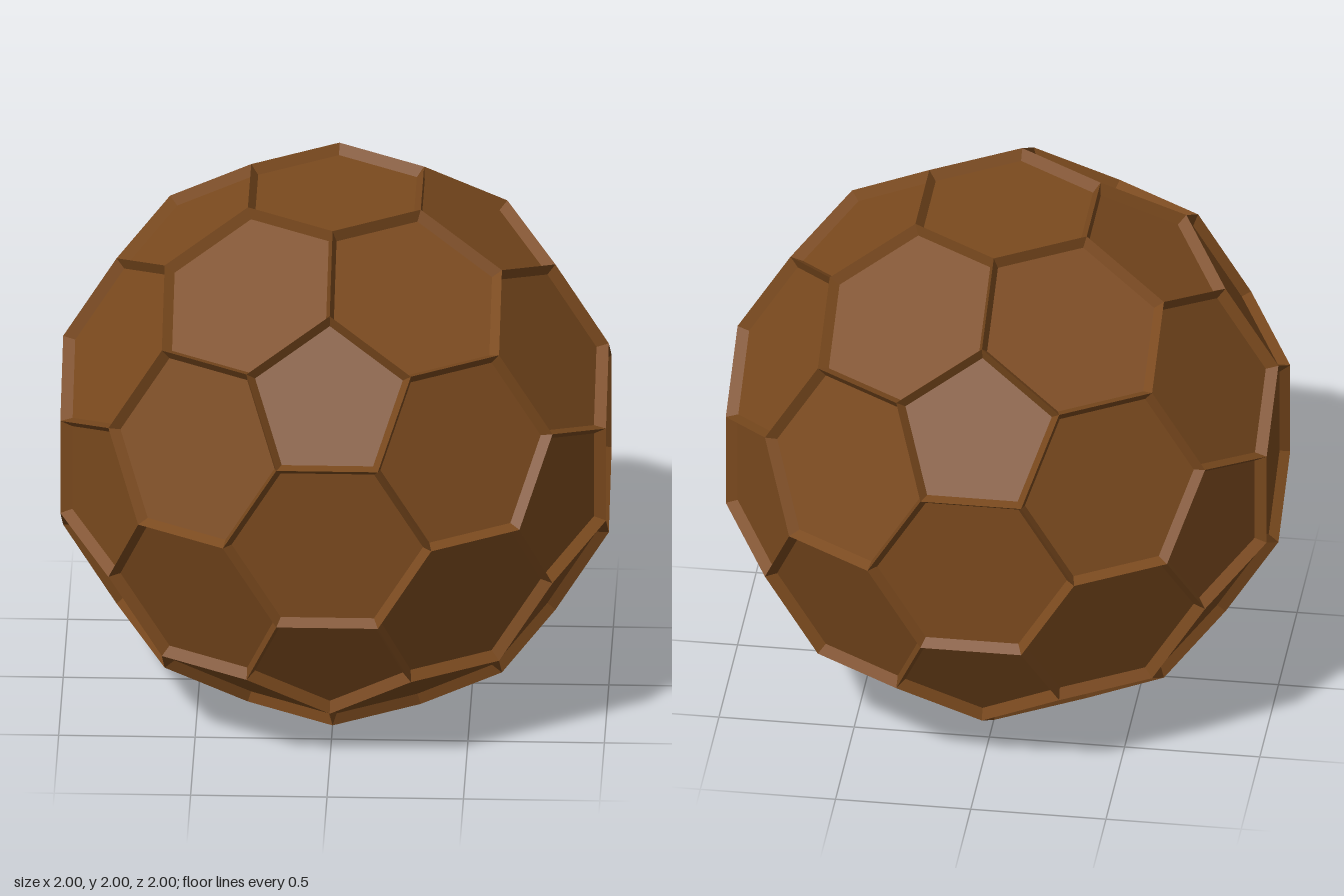
import * as THREE from 'three';

const PHI = (1 + Math.sqrt(5)) / 2;
const TIP = 1 / (PHI * PHI);   // centre of a hexagon to its pointed corners
const HALF = 0.3168;           // centre of a hexagon to its sides next to pentagons
const EDGE = 0.3724;           // length of every edge
const PENT_DIST = 1.0172;      // pentagon planes; hexagon planes lie at 1
const INSET = 0.026, DEPTH = 0.036;

// Twelve pentagon directions
function pentagonAxes() {
  const axes = [];
  for (const s of [-1, 1]) for (const t of [-1, 1]) {
    axes.push([0, s, t * PHI], [s, t * PHI, 0], [t * PHI, 0, s]);
  }
  return axes.map((a) => new THREE.Vector3(...a).normalize());
}

// Adds one recessed face: a flat floor and a sloping rim up to the shared ridge
function addFace(floors, rims, normal, towards, dist, corners, apothem) {
  const u = towards.clone().addScaledVector(normal, -towards.dot(normal)).normalize();
  const v = normal.clone().cross(u);
  const place = (scale, d) => corners.map(([a, b]) => normal.clone().multiplyScalar(d)
    .addScaledVector(u, a * scale).addScaledVector(v, b * scale));
  const outer = place(1, dist);
  const inner = place(1 - INSET / apothem, dist - DEPTH);
  const centre = normal.clone().multiplyScalar(dist - DEPTH);
  corners.forEach((_, i) => {
    const j = (i + 1) % corners.length;
    floors.push(centre, inner[i], inner[j]);
    rims.push(outer[i], outer[j], inner[j], outer[i], inner[j], inner[i]);
  });
}

export function createModel() {
  const group = new THREE.Group();
  group.name = 'panelledBall';
  const material = new THREE.MeshStandardMaterial({ color: 0x7b4a1e, flatShading: true });
  const axes = pentagonAxes();
  const hexFloors = [], pentFloors = [], rims = [];

  const h = EDGE / 2;
  const hexagon = [[HALF, -h], [HALF, h], [0, TIP], [-HALF, h], [-HALF, -h], [0, -TIP]];
  const radius = EDGE / (2 * Math.sin(Math.PI / 5));
  const pentagon = [0, 1, 2, 3, 4].map((k) => {
    const angle = (2 * k + 1) * Math.PI / 5;
    return [radius * Math.cos(angle), radius * Math.sin(angle)];
  });

  axes.forEach((a, i) => {
    // Pentagon with its sides turned to the neighbouring pentagons
    const neighbours = axes.filter((b) => b !== a && a.dot(b) > 0.4);
    addFace(pentFloors, rims, a, neighbours[0], PENT_DIST, pentagon, radius * Math.cos(Math.PI / 5));
    // Hexagon halfway between each pair of neighbouring pentagons
    for (const b of neighbours) {
      if (axes.indexOf(b) < i) continue;
      addFace(hexFloors, rims, a.clone().add(b).normalize(), a.clone().sub(b), 1, hexagon, HALF);
    }
  });

  const addMesh = (name, points) => {
    const geometry = new THREE.BufferGeometry().setFromPoints(points);
    geometry.computeVertexNormals();
    const mesh = new THREE.Mesh(geometry, material);
    mesh.name = name;
    mesh.position.y = 1;
    group.add(mesh);
  };
  addMesh('hexagonPanels', hexFloors);
  addMesh('pentagonPanels', pentFloors);
  addMesh('panelRims', rims);
  return group;
}
